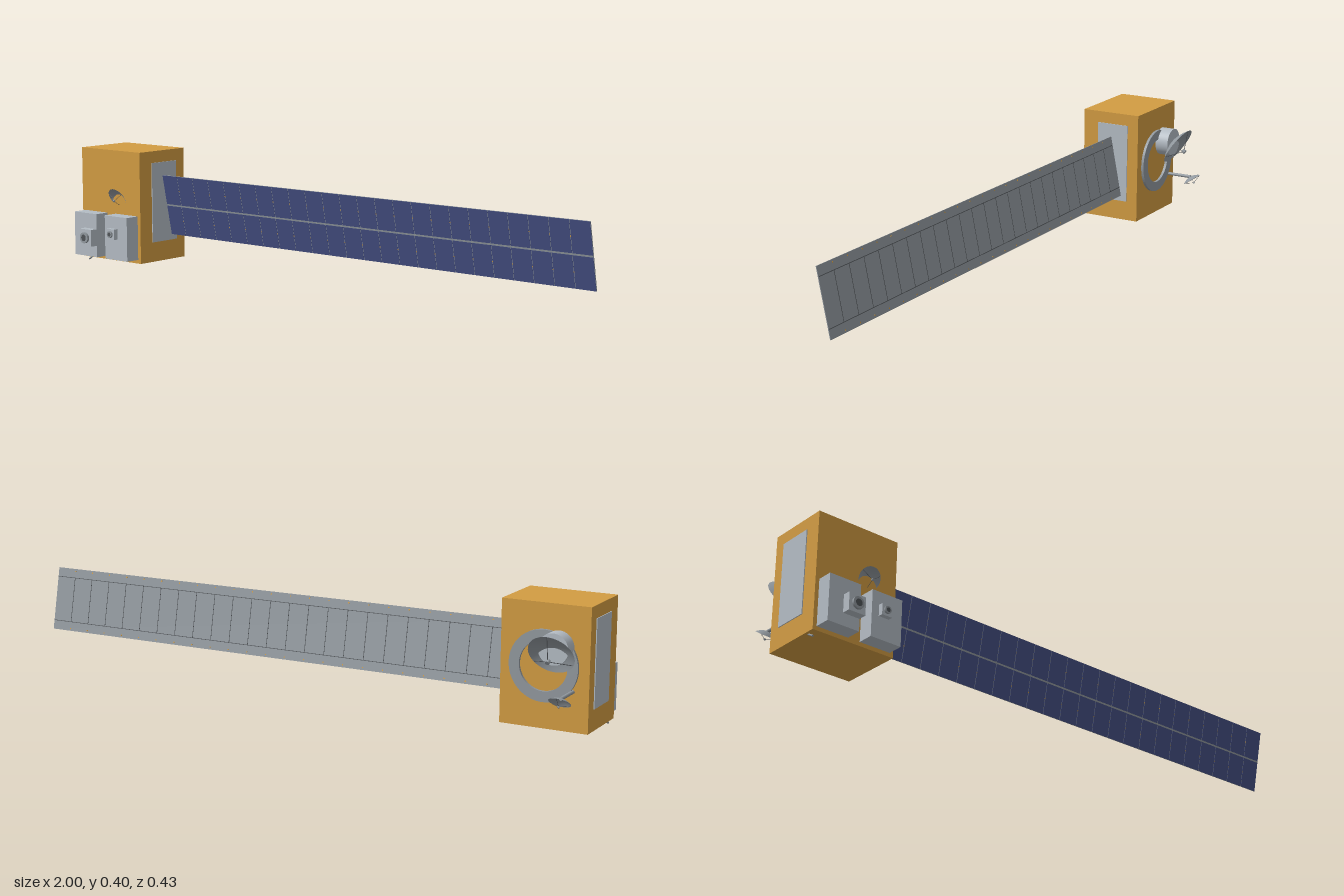
import * as THREE from 'three';

const mat = (name, color, side = THREE.FrontSide) => {
  const m = new THREE.MeshStandardMaterial({ color, side });
  m.name = name;
  return m;
};

export function createModel() {
  const root = new THREE.Group();
  root.name = 'satellite';
  const gold = mat('gold foil', 0xd29c42);
  const light = mat('light grey', 0xb4bcc4);
  const grey = mat('mid grey', 0x92999f, THREE.DoubleSide);
  const dark = mat('dark grey', 0x505458);
  const blue = mat('cell blue', 0x465084);

  const add = (parent, name, geo, material, x = 0, y = 0, z = 0) => {
    const m = new THREE.Mesh(geo, material);
    m.name = name;
    m.position.set(x, y, z);
    parent.add(m);
    return m;
  };
  // box given by its lower and upper corners
  const box = (parent, name, material, x0, x1, y0, y1, z0, z1) =>
    add(parent, name, new THREE.BoxGeometry(x1 - x0, y1 - y0, z1 - z0), material,
      (x0 + x1) / 2, (y0 + y1) / 2, (z0 + z1) / 2);
  // round bar between two points
  const Y = new THREE.Vector3(0, 1, 0);
  const bar = (parent, name, material, a, b, r, sides = 8) => {
    const p = new THREE.Vector3(...a), q = new THREE.Vector3(...b);
    const d = q.clone().sub(p);
    const m = add(parent, name, new THREE.CylinderGeometry(r, r, d.length(), sides), material);
    m.position.copy(p).add(q).multiplyScalar(0.5);
    m.quaternion.setFromUnitVectors(Y, d.normalize());
    return m;
  };

  // body and side radiators
  box(root, 'body', gold, -0.997, -0.714, 0.015, 0.397, -0.083, 0.13);
  box(root, 'leftRadiator', light, -0.7145, -0.711, 0.083, 0.357, -0.043, 0.074);
  box(root, 'rightRadiator', light, -1, -0.9965, 0.083, 0.357, -0.043, 0.074);

  // two front instruments: housing, lens block, lens barrel and dark aperture
  const instrument = (name, x0, x1, bx, by, half, z1, z2, r) => {
    const g = new THREE.Group();
    g.name = name;
    root.add(g);
    box(g, 'housing', light, x0, x1, 0.028, 0.178, 0.13, 0.182);
    box(g, 'lensBlock', light, bx - half, bx + half, by - half, by + half, 0.182, z1);
    bar(g, 'lensBarrel', grey, [bx, by, z1], [bx, by, z2], r, 24);
    add(g, 'aperture', new THREE.CircleGeometry(r * 0.6, 24), dark, bx, by, z2 + 0.0005);
  };
  instrument('wideInstrument', -0.984, -0.875, -0.904, 0.097, 0.029, 0.209, 0.217, 0.019);
  instrument('narrowInstrument', -0.834, -0.727, -0.791, 0.118, 0.018, 0.198, 0.204, 0.0115);

  // dish antenna: parabola with its rim centred on the group origin, facing +y
  const dish = (name, pos, dir, r, depth, focus) => {
    const g = new THREE.Group();
    g.name = name;
    g.position.set(...pos);
    g.quaternion.setFromUnitVectors(Y, new THREE.Vector3(...dir).normalize());
    root.add(g);
    const pts = [];
    for (let i = 0; i <= 10; i++) {
      const t = i / 10;
      pts.push(new THREE.Vector2(r * t, depth * (t * t - 1)));
    }
    add(g, 'reflector', new THREE.LatheGeometry(pts, 40), grey);
    for (let i = 0; i < 3; i++) {
      const a = (i / 3) * Math.PI * 2 + Math.PI / 2;
      bar(g, 'feedStrut', dark, [r * 0.96 * Math.cos(a), 0, r * 0.96 * Math.sin(a)],
        [0, focus, 0], r * 0.016, 6);
    }
    add(g, 'feed', new THREE.CylinderGeometry(r * 0.1, r * 0.1, r * 0.16, 12), grey, 0, focus, 0);
  };
  dish('frontDish', [-0.816, 0.235, 0.139], [0, -0.5, 0.86], 0.037, 0.014, 0.018);
  dish('mainDish', [-0.901, 0.2575, -0.147], [0, -0.54, -0.84], 0.072, 0.024, 0.029);
  dish('smallDish', [-0.947, 0.1285, -0.185], [0, -0.82, -0.57], 0.034, 0.013, 0.013);

  // supports of the rear dishes
  bar(root, 'mainDishDrum', light, [-0.899, 0.27, -0.083], [-0.899, 0.27, -0.13], 0.048, 40);
  bar(root, 'smallDishBoom', grey, [-0.947, 0.1385, -0.083], [-0.947, 0.1385, -0.179], 0.0055, 12);

  // launch ring on the back
  const ring = new THREE.Shape().absarc(0, 0, 0.11, 0, Math.PI * 2, false);
  ring.holes.push(new THREE.Path().absarc(0, 0, 0.077, 0, Math.PI * 2, true));
  add(root, 'launchRing',
    new THREE.ExtrudeGeometry(ring, { depth: 0.009, bevelEnabled: false, curveSegments: 40 }),
    grey, -0.854, 0.2075, -0.092);

  // short whip antenna under the front edge
  bar(root, 'whipAntenna', grey, [-0.985, 0.0175, 0.09], [-0.985, 0.0025, 0.116], 0.003, 10);

  // single solar wing, tilted about its long axis
  const wing = new THREE.Group();
  wing.name = 'solarWing';
  wing.position.set(0, 0.2065, 0.001);
  wing.rotation.x = 0.2;
  root.add(wing);
  const x0 = -0.714, x1 = 1, h = 0.107, n = 24, pitch = (x1 - x0) / n;
  box(wing, 'wingPanel', grey, x0, x1, -h, h, -0.0015, 0.001);
  for (let i = 0; i < n; i++) {
    const a = x0 + i * pitch, b = a + pitch;
    for (const s of [-1, 1]) {
      const lo = s > 0 ? 0.003 : -h + 0.0005, hi = s > 0 ? h - 0.0005 : -0.003;
      box(wing, 'solarCells', blue, a + 0.001, b - 0.001, lo, hi, 0.001, 0.0018);
      // small clips on both faces
      if (i > 0) {
        box(wing, 'frontClip', gold, a - 0.0015, a + 0.0015, s * 0.055 - 0.0015, s * 0.055 + 0.0015, 0.001, 0.0022);
        box(wing, 'rearClip', gold, a - 0.002, a + 0.002, s * 0.099 - 0.002, s * 0.099 + 0.002, -0.0022, -0.0015);
      }
    }
    if (i > 0) box(wing, 'rearSeam', dark, a - 0.001, a + 0.001, -0.075, 0.075, -0.002, -0.0015);
  }
  for (const s of [-1, 1]) {
    box(wing, 'rearRail', dark, x0, x1, s * 0.076 - 0.001, s * 0.076 + 0.001, -0.002, -0.0015);
  }
  return root;
}
